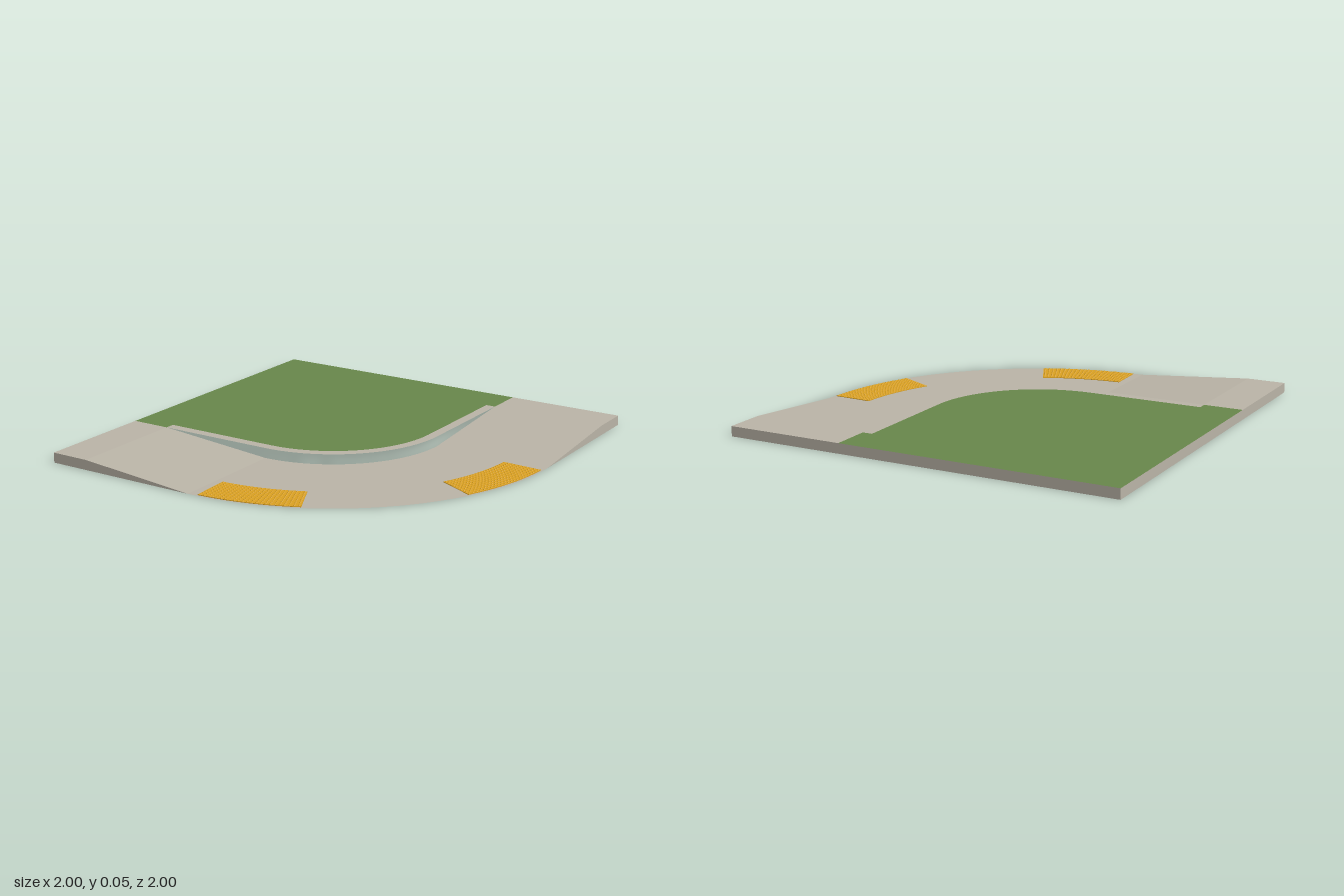
import * as THREE from 'three';
import { mergeGeometries } from 'three/addons/utils/BufferGeometryUtils.js';

const H = 0.05;        // raised height
const C = -0.2;        // bend centre, x and z
const SEG = 24;

const mat = (name, color, side = THREE.DoubleSide) => {
  const m = new THREE.MeshStandardMaterial({ color, side });
  m.name = name;
  return m;
};

const point = (r, a, y) => [C + r * Math.cos(a), y, C + r * Math.sin(a)];

// Line along one arm, round the bend and out along the other arm.
// arms: [distance, height] pairs from the tile edge towards the bend
function bendLine(r, arms, bendY) {
  const first = arms.map(([d, y]) => [C + r, y, d]);
  const last = arms.map(([d, y]) => [d, y, C + r]).reverse();
  const arc = [];
  for (let i = 0; i <= SEG; i++) arc.push(point(r, (i / SEG) * Math.PI / 2, bendY));
  return [...first, ...arc, ...last];
}

// Flat-shaded strip of quads between two lines
function ribbon(a, b) {
  const p = [];
  for (let i = 0; i < a.length - 1; i++) {
    p.push(...a[i], ...a[i + 1], ...b[i], ...b[i], ...a[i + 1], ...b[i + 1]);
  }
  const g = new THREE.BufferGeometry();
  g.setAttribute('position', new THREE.Float32BufferAttribute(p, 3));
  g.computeVertexNormals();
  return g;
}

// Vertical wall from a top line down to the ground
const skirt = (line) => ribbon(line, line.map(([x, , z]) => [x, 0, z]));

export function createModel() {
  const model = new THREE.Group();
  model.name = 'cornerRamp';
  const concrete = mat('concrete', 0xb9b3a6);
  const grass = mat('grass', 0x67864a);
  const yellow = mat('warningYellow', 0xd9a021);
  const add = (name, geometry, material) => {
    const mesh = new THREE.Mesh(geometry, material);
    mesh.name = name;
    model.add(mesh);
  };

  // Pavement: level ends, ramps down, level bend on the ground
  const arms = [[-1, H], [-0.8, H]];
  const outer = bendLine(1.2, arms, 0);
  add('pavement', ribbon(bendLine(0.6, arms, 0), outer), concrete);

  // Raised kerb strip round the lawn
  const kerbArm = [[-0.8, H]];
  add('kerb', ribbon(bendLine(0.55, kerbArm, H), bendLine(0.6, kerbArm, H)), concrete);

  // Side walls of the ramps and the two straight tile edges
  add('rightRampSide', skirt(outer.slice(0, 3)), concrete);
  add('frontRampSide', skirt(outer.slice(-3)), concrete);
  add('backWall', skirt([[-1, H, -1], [1, H, -1]]), concrete);
  add('sideWall', skirt([[-1, H, 1], [-1, H, -1]]), concrete);

  // Lawn, notched where the kerb begins
  const lawn = [[-1, H, -1], [0.4, H, -1], [0.4, H, -0.8],
    ...bendLine(0.55, kerbArm, H), [-0.8, H, 0.4], [-1, H, 0.4]];
  const shape = new THREE.Shape(lawn.map(([x, , z]) => new THREE.Vector2(x, -z)));
  add('lawn', new THREE.ShapeGeometry(shape).rotateX(-Math.PI / 2).translate(0, H, 0), grass);

  // Tactile pads with rows of small domes
  const R0 = 0.99, R1 = 1.19, T = 0.003, rows = 10, cols = 23;
  const deg = Math.PI / 180;
  [['rightPad', 2.3], ['frontPad', 63.7]].forEach(([name, start]) => {
    const a0 = start * deg, a1 = (start + 24) * deg;
    const inner = [], rim = [];
    for (let i = 0; i <= 10; i++) {
      const a = a0 + (a1 - a0) * i / 10;
      inner.push(point(R0, a, T));
      rim.push(point(R1, a, T));
    }
    const edge = [...rim, ...inner.slice().reverse(), rim[0]];
    add(name, mergeGeometries([ribbon(inner, rim), skirt(edge)]), yellow);

    const domes = [];
    for (let i = 0; i < rows; i++) {
      for (let j = 0; j < cols; j++) {
        const r = R0 + (R1 - R0) * (i + 0.5) / rows;
        const a = a0 + (a1 - a0) * (j + 0.5) / cols;
        const [x, y, z] = point(r, a, T + 0.0015);
        domes.push(new THREE.CylinderGeometry(0.0035, 0.006, 0.003, 8, 1, true).translate(x, y, z));
        domes.push(new THREE.CircleGeometry(0.0035, 8).rotateX(-Math.PI / 2).translate(x, y + 0.0015, z));
      }
    }
    add(name + 'Domes', mergeGeometries(domes), yellow);
  });
  return model;
}
